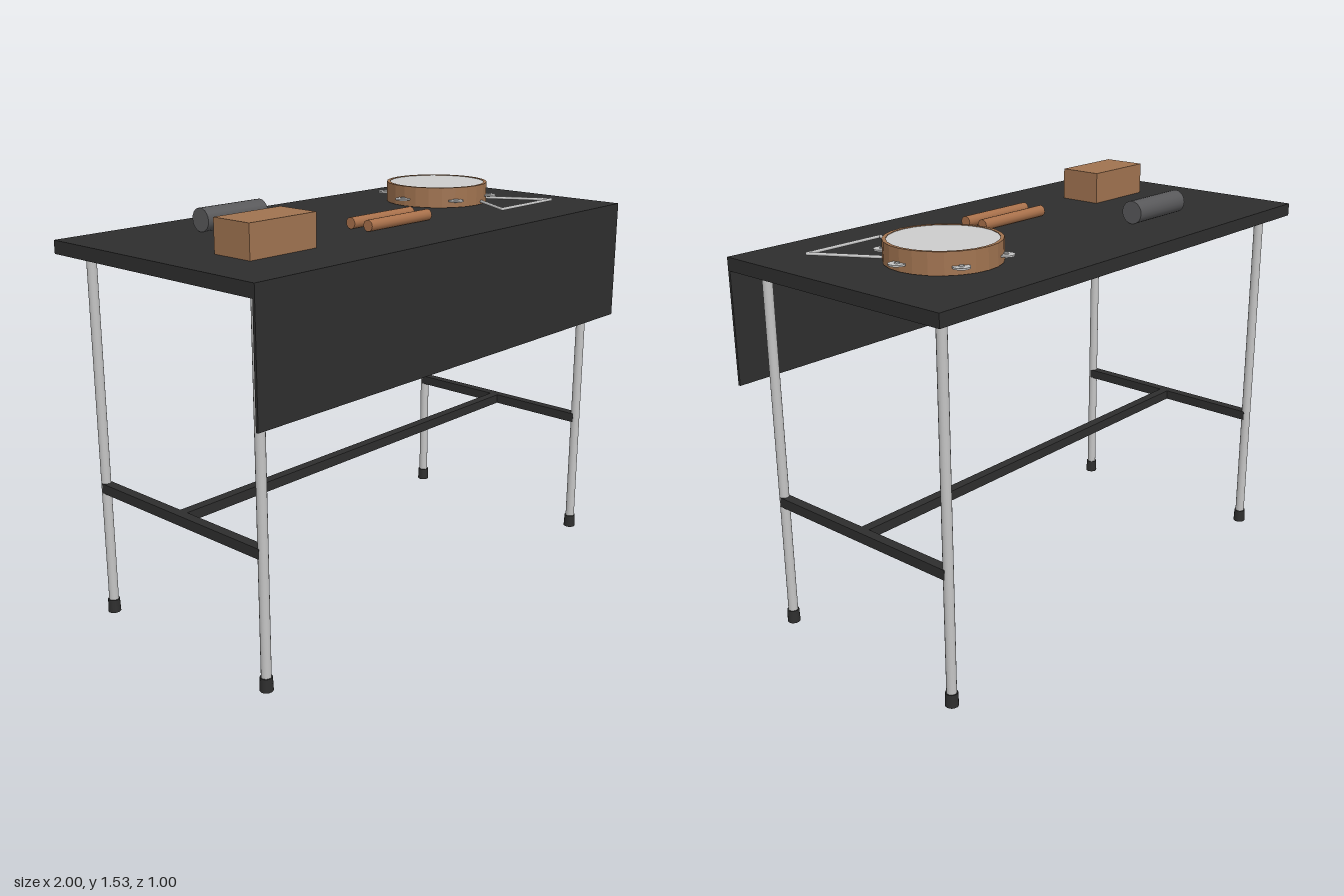
import * as THREE from 'three';

const mat = (name, color) => {
  const m = new THREE.MeshStandardMaterial({ color });
  m.name = name;
  return m;
};

export function createModel() {
  const black = mat('black', 0x2e2e2e);
  const steel = mat('steel', 0xc4c4c4);
  const wood = mat('wood', 0xa07350);
  const stickWood = mat('stick wood', 0xa8704a);
  const charcoal = mat('charcoal', 0x58585a);
  const skin = mat('drum skin', 0xcccccc);
  const flatWood = mat('hoop wood', 0xa07350);
  flatWood.flatShading = true;
  flatWood.side = THREE.DoubleSide;

  const model = new THREE.Group();
  const add = (name, geo, material, x, y, z, parent = model) => {
    const mesh = new THREE.Mesh(geo, material);
    mesh.name = name;
    mesh.position.set(x, y, z);
    parent.add(mesh);
    return mesh;
  };
  const top = 1.408, midZ = -0.004, legX = 0.91, legZ = 0.414;

  // Table top and front modesty panel
  add('tableTop', new THREE.BoxGeometry(2, 0.048, 0.992), black, 0, top - 0.024, midZ);
  add('frontPanel', new THREE.BoxGeometry(2, 0.46, 0.01), black, 0, 1.178, 0.495);

  // Legs with rubber feet, and the H-shaped stretcher
  for (const sx of [-1, 1]) {
    for (const sz of [-1, 1]) {
      const x = sx * legX, z = midZ + sz * legZ;
      add('leg', new THREE.CylinderGeometry(0.018, 0.018, 1.34, 16), steel, x, 0.695, z);
      add('foot', new THREE.CylinderGeometry(0.022, 0.024, 0.05, 16), black, x, 0.025, z);
    }
    add('sideRail', new THREE.BoxGeometry(0.037, 0.037, 2 * legZ), black, sx * legX, 0.498, midZ);
  }
  add('longRail', new THREE.BoxGeometry(2 * legX, 0.037, 0.037), black, 0, 0.498, midZ);

  // Wood block, shaker and a pair of sticks
  add('woodBlock', new THREE.BoxGeometry(0.298, 0.12, 0.168), wood, -0.646, top + 0.06, 0.176);
  add('shaker', new THREE.CylinderGeometry(0.043, 0.043, 0.285, 20).rotateZ(Math.PI / 2),
    charcoal, -0.425, top + 0.044, -0.24);
  for (const z of [0.107, 0.19]) {
    add('stick', new THREE.CylinderGeometry(0.021, 0.021, 0.33, 16).rotateZ(Math.PI / 2),
      stickWood, -0.002, top + 0.022, z);
  }

  // Tambourine: hoop, skin and six jingles
  const tambourine = new THREE.Group();
  tambourine.name = 'tambourine';
  tambourine.position.set(0.562, top, -0.089);
  model.add(tambourine);
  const hoop = [[0.19, 0.002], [0.203, 0.002], [0.203, 0.08], [0.19, 0.08], [0.19, 0.002]]
    .map(([r, y]) => new THREE.Vector2(r, y));
  add('hoop', new THREE.LatheGeometry(hoop, 24), flatWood, 0, 0, 0, tambourine);
  add('skin', new THREE.CylinderGeometry(0.192, 0.192, 0.008, 24), skin, 0, 0.074, 0, tambourine);
  for (let i = 0; i < 6; i++) {
    const a = i * Math.PI / 3, x = 0.212 * Math.cos(a), z = 0.212 * Math.sin(a);
    add('jingle', new THREE.CylinderGeometry(0.03, 0.03, 0.006, 16), steel, x, 0.03, z, tambourine);
    add('jingleHub', new THREE.CylinderGeometry(0.009, 0.011, 0.013, 10), steel, x, 0.03, z, tambourine);
  }

  // Triangle: three rods joined by round corners
  const corners = [[0.497, 0.289], [0.829, 0.289], [0.663, 0.002]]
    .map(([x, z]) => new THREE.Vector3(x, top + 0.013, z));
  corners.forEach((p, i) => {
    const q = corners[(i + 1) % 3];
    add('triangleRod', new THREE.TubeGeometry(new THREE.LineCurve3(p, q), 1, 0.006, 8), steel, 0, 0, 0);
    add('triangleCorner', new THREE.SphereGeometry(0.006, 8, 6), steel, p.x, p.y, p.z);
  });

  return model;
}
